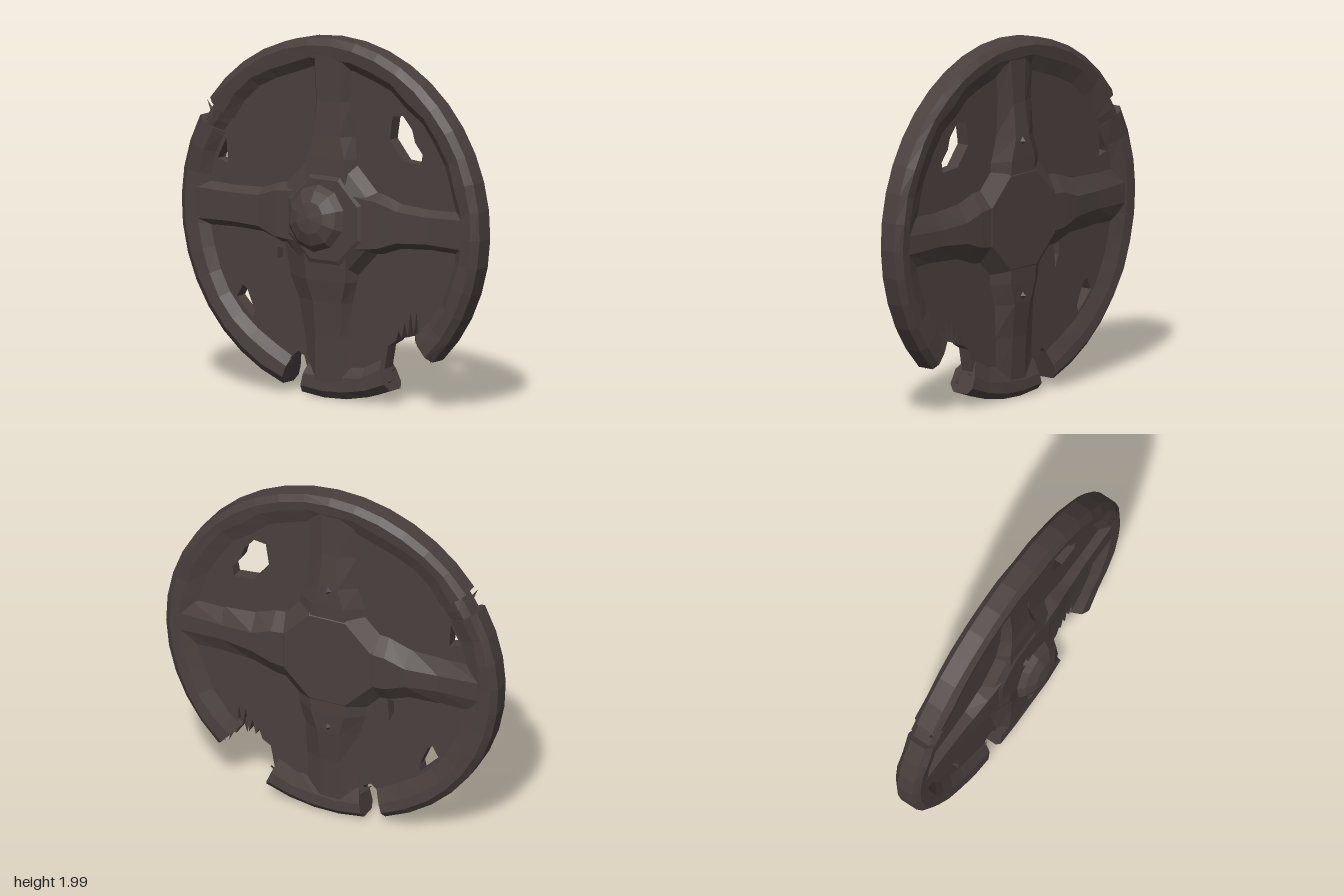
import * as THREE from 'three';

const rad = THREE.MathUtils.degToRad;
const iron = new THREE.MeshStandardMaterial({ color: 0x4a403e, flatShading: true });
iron.name = 'dark iron';

let seed = 7;
const rand = () => ((seed = (seed * 16807) % 2147483647) / 2147483647);
const jitter = (a) => (rand() - 0.5) * 2 * a;

// Skin a list of equal cross-sections and cap both ends
function loft(rings) {
  const n = rings[0].length, last = (rings.length - 1) * n, index = [];
  for (let r = 0; r < rings.length - 1; r++) {
    for (let i = 0; i < n; i++) {
      const a = r * n + i, b = r * n + ((i + 1) % n);
      index.push(a, b, b + n, a, b + n, a + n);
    }
  }
  for (let i = 1; i < n - 1; i++) {
    index.push(0, i + 1, i);
    index.push(last, last + i, last + i + 1);
  }
  const geo = new THREE.BufferGeometry();
  geo.setAttribute('position', new THREE.Float32BufferAttribute(rings.flat(2), 3));
  geo.setIndex(index);
  geo.computeVertexNormals();
  return geo;
}

// Stretch of rim between two angles in degrees
function rimArc(from, to, outer) {
  const steps = Math.max(2, Math.round((to - from) / 9));
  const rings = [];
  for (let s = 0; s <= steps; s++) {
    const t = rad(from + ((to - from) * s) / steps);
    const dr = jitter(0.012), dz = jitter(0.006);
    const section = [
      [0.82 + dr, -0.04], [0.88 + dr, 0.008 + dz], [outer - 0.04, 0.015 + dz], [outer, -0.015],
      [outer, -0.115], [outer - 0.035, -0.145 + dz], [0.9 + dr, -0.14 + dz], [0.8 + dr, -0.105],
    ];
    rings.push(section.map(([r, z]) => [r * Math.cos(t), r * Math.sin(t), z]));
  }
  return loft(rings);
}

// Raised cross arm, running outward along +y; bulge widens one front side near the hub
function armGeometry(bulge) {
  // distance, half width, front z, back z
  const stations = [
    [0.15, 0.17, 0.045, -0.175], [0.34, 0.15, 0.035, -0.177], [0.46, 0.115, 0.02, -0.172],
    [0.65, 0.105, 0.01, -0.148], [0.9, 0.11, 0.008, -0.138],
  ];
  return loft(stations.map(([d, w, f, b]) => {
    const k = w + jitter(0.006), side = k + bulge * (1.1 - d);
    return [
      [-k - 0.015, d, -0.04], [0.025 - k, d, f], [k - 0.025, d, f], [side + 0.015, d, -0.04],
      [k + 0.05, d, -0.105], [k - 0.055, d, b], [0.055 - k, d, b], [-k - 0.05, d, -0.105],
    ];
  }));
}

// Panel disc with torn edges and holes (coordinates with y from the ground)
function panelGeometry() {
  const shape = new THREE.Shape();
  const arc = (from, to) => {
    const steps = Math.ceil((to - from) / 8);
    for (let s = 0; s <= steps; s++) {
      const t = rad(from + ((to - from) * s) / steps);
      const x = 0.87 * Math.cos(t), y = 0.87 * Math.sin(t);
      if (from === -47 && s === 0) shape.moveTo(x, y); else shape.lineTo(x, y);
    }
  };
  const torn = (pts) => pts.forEach(([x, y]) => shape.lineTo(x, y - 1));
  arc(-47, 251.4);
  torn([[-0.27, 0.21], [-0.23, 0.24], [-0.19, 0.22]]);
  arc(-101.1, -66.6);
  torn([[0.37, 0.33], [0.42, 0.36], [0.44, 0.42], [0.46, 0.38], [0.48, 0.47], [0.5, 0.39], [0.52, 0.53],
    [0.54, 0.41], [0.56, 0.54], [0.575, 0.36]]);
  shape.closePath();

  const holes = [
    [[0.4, 1.6], [0.47, 1.61], [0.53, 1.54], [0.55, 1.47], [0.6, 1.41], [0.59, 1.35], [0.47, 1.36], [0.38, 1.47]],
    [[-0.6, 0.57], [-0.64, 0.5], [-0.53, 0.39], [-0.52, 0.43], [-0.57, 0.55]],
    [[-0.77, 1.25], [-0.71, 1.37], [-0.7, 1.23]],
    [[-0.37, 0.8], [-0.33, 0.8], [-0.34, 0.67], [-0.37, 0.74]],
    [[0.1, 1.62], [0.15, 1.5], [0.165, 1.3], [0.12, 1.3]],
    [[0.1, 0.65], [0.13, 0.63], [0.11, 0.36]],
  ];
  for (const h of holes) {
    shape.holes.push(new THREE.Path(h.map(([x, y]) => new THREE.Vector2(x, y - 1))));
  }
  const geo = new THREE.ExtrudeGeometry(shape, { depth: 0.075, bevelEnabled: false });
  geo.translate(0, 0, -0.11);
  return geo;
}

// Faceted turned part facing +z; profile is [radius, z] from back to front
function turned(profile, sides) {
  const geo = new THREE.LatheGeometry(profile.map(([r, z]) => new THREE.Vector2(r, z)), sides);
  return geo.rotateX(Math.PI / 2);
}

export function createModel() {
  const model = new THREE.Group();
  model.name = 'batteredRoundShield';
  const body = new THREE.Group();
  body.name = 'shieldBody';
  body.position.y = 1;
  model.add(body);
  const add = (name, geo) => {
    const mesh = new THREE.Mesh(geo, iron);
    mesh.name = name;
    body.add(mesh);
    return mesh;
  };

  add('panel', panelGeometry());

  // Broken rim, with one dented stretch
  add('rimMain', rimArc(-47, 144, 0.995));
  add('rimDent', rimArc(144, 151, 0.955));
  add('rimLeft', rimArc(151, 251.4, 0.995));
  add('rimBottom', rimArc(-101.1, -66.6, 0.995));

  // Four arms of the cross; the lower one is bent out towards the right
  for (let i = 0; i < 4; i++) {
    add('crossArm', armGeometry(i === 2 ? 0.16 : 0)).rotation.z = (i * Math.PI) / 2;
  }

  // Small knots on the back of the upper and lower arms
  for (const y of [0.44, -0.42]) {
    add('backKnot', new THREE.OctahedronGeometry(0.035)).position.set(0, y, -0.16);
  }

  // Hub plate, and a domed boss held on a thin pin
  add('hub', turned([[0, -0.18], [0.28, -0.18], [0.37, -0.11], [0.36, -0.035], [0.31, 0.02], [0.24, 0.05], [0, 0.05]], 8))
    .rotation.z = Math.PI / 8;
  const boss = new THREE.Group();
  boss.name = 'boss';
  boss.position.set(0, 0.02, 0.12);
  boss.rotation.x = -0.13;
  body.add(boss);
  boss.add(
    add('bossDome', turned([[0, 0.035], [0.1, 0.025], [0.185, 0], [0.155, 0.035], [0.09, 0.066], [0, 0.078]], 10)),
    add('bossPin', turned([[0.03, -0.08], [0.03, 0.04]], 6)),
  );

  // Torn metal shards: x, y, z, length, turn
  const shards = [
    [0.365, 0.13, -0.03, 0.1, -1.2], [0.34, 0.17, -0.1, 0.1, -0.8], [0.63, 0.32, -0.04, 0.14, 3.5],
    [0.66, 0.34, -0.1, 0.12, 2.9], [0.53, 0.4, -0.07, 0.1, 3.1], [-0.2, 0.2, -0.1, 0.08, 1.0],
    [-0.28, 0.19, -0.03, 0.08, -0.6], [-0.8, 1.52, -0.02, 0.12, 0.5], [-0.78, 1.46, -0.12, 0.1, 2.4],
  ];
  for (const [x, y, z, len, turn] of shards) {
    const shard = add('tornShard', new THREE.ConeGeometry(0.022, len, 3));
    shard.position.set(x, y - 1, z);
    shard.rotation.z = turn;
  }
  return model;
}
